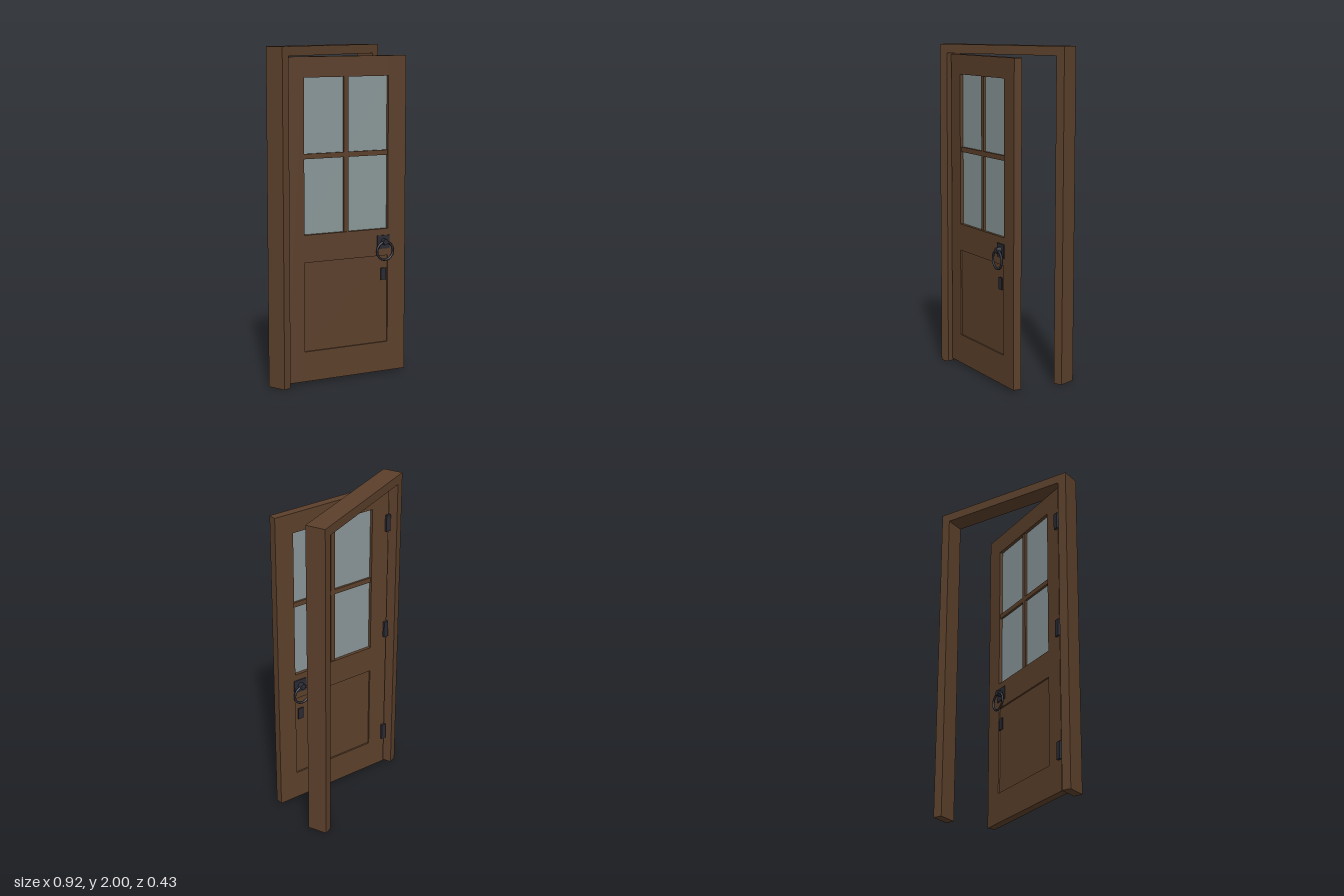
import * as THREE from 'three';

const wood = new THREE.MeshStandardMaterial({ color: 0x5c402b });
wood.name = 'brown wood';
const glass = new THREE.MeshStandardMaterial({ color: 0x8a9799 });
glass.name = 'grey glass';
const iron = new THREE.MeshStandardMaterial({ color: 0x2a2b34 });
iron.name = 'dark iron';

// Box given by its extents on each axis
function box(parent, name, mat, [x0, x1], [y0, y1], [z0, z1]) {
  const mesh = new THREE.Mesh(new THREE.BoxGeometry(x1 - x0, y1 - y0, z1 - z0), mat);
  mesh.position.set((x0 + x1) / 2, (y0 + y1) / 2, (z0 + z1) / 2);
  mesh.name = name;
  parent.add(mesh);
  return mesh;
}

// Ring pull, back plate and keyhole plate, built outward along +z
function createHandle() {
  const handle = new THREE.Group();
  handle.name = 'ringHandle';
  box(handle, 'handlePlate', iron, [-0.042, 0.042], [0.778, 0.86], [0, 0.006]);
  box(handle, 'keyholePlate', iron, [-0.018, 0.018], [0.587, 0.66], [0, 0.006]);
  const boss = new THREE.Mesh(new THREE.CylinderGeometry(0.018, 0.02, 0.032, 8), iron);
  boss.rotation.x = Math.PI / 2;
  boss.position.set(0, 0.822, 0.019);
  boss.name = 'handleBoss';
  const ring = new THREE.Mesh(new THREE.TorusGeometry(0.055, 0.007, 8, 16), iron);
  ring.position.set(0, 0.767, 0.025);
  ring.name = 'pullRing';
  handle.add(boss, ring);
  return handle;
}

export function createModel() {
  const model = new THREE.Group();
  model.name = 'doorway';

  // Fixed frame
  const frame = new THREE.Group();
  frame.name = 'frame';
  const depth = [-0.215, -0.094];
  box(frame, 'rightPost', wood, [-0.46, -0.405], [0, 1.945], depth);
  box(frame, 'leftPost', wood, [0.405, 0.46], [0, 1.945], depth);
  box(frame, 'lintel', wood, [-0.46, 0.46], [1.945, 2], depth);
  model.add(frame);

  // Door leaf: origin at the hinge side of its front face, swung open
  const door = new THREE.Group();
  door.name = 'door';
  door.position.set(-0.398, 0, -0.128);
  door.rotation.y = -THREE.MathUtils.degToRad(25);
  model.add(door);

  const thick = [-0.05, 0];
  const inner = [0.12, 0.68];
  box(door, 'hingeStile', wood, [0, 0.12], [0.015, 1.94], thick);
  box(door, 'lockStile', wood, [0.68, 0.8], [0.015, 1.94], thick);
  for (const [name, y] of [['bottomRail', [0.015, 0.197]], ['middleRail', [0.735, 0.9]], ['topRail', [1.82, 1.94]]])
    box(door, name, wood, inner, y, thick);
  box(door, 'lowerPanel', wood, inner, [0.197, 0.735], [-0.04, -0.01]);

  // Window with crossed glazing bars
  box(door, 'windowGlass', glass, inner, [0.9, 1.82], [-0.03, -0.02]);
  box(door, 'verticalBar', wood, [0.385, 0.415], [0.9, 1.82], [-0.043, -0.007]);
  for (const x of [[0.12, 0.385], [0.415, 0.68]])
    box(door, 'horizontalBar', wood, x, [1.347, 1.377], [-0.043, -0.007]);

  // Handles on both faces
  const front = createHandle();
  front.position.set(0.648, 0, 0);
  const back = createHandle();
  back.position.set(0.648, 0, -0.05);
  back.rotation.y = Math.PI;
  door.add(front, back);

  // Hinges on the back edge
  for (const y of [0.25, 1.0, 1.71])
    box(door, 'hinge', iron, [-0.005, 0.025], [y - 0.052, y + 0.052], [-0.064, -0.044]);

  return model;
}
